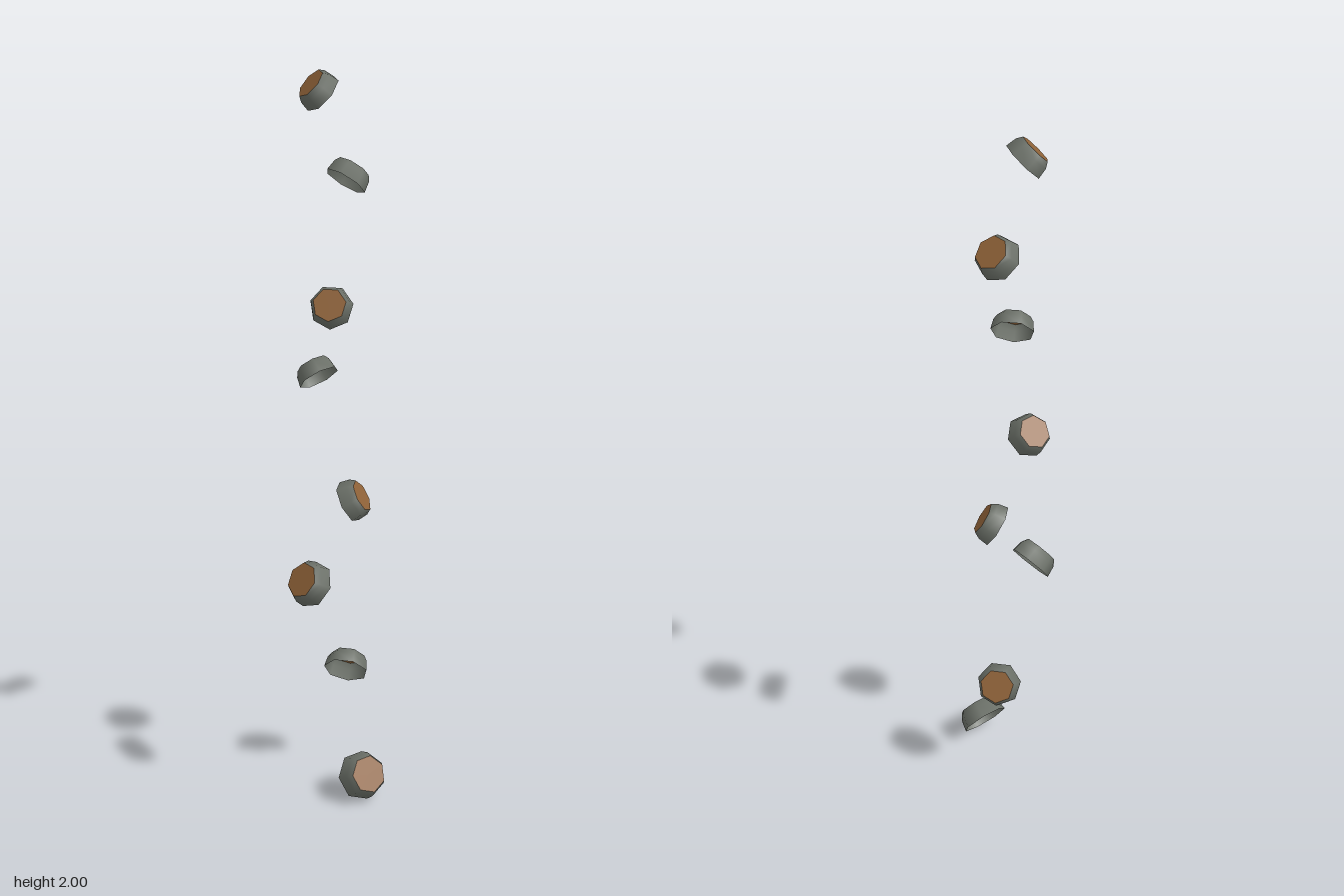
import * as THREE from 'three';

const SIDES = 7;

// base centre x, y, z; outward heading x, z; upward tilt in degrees; base radius
const STUBS = [
  [-0.071, 1.948, -0.017, -0.37, 0.93, 43, 0.055],
  [-0.07, 1.712, -0.087, -0.08, -1, 47, 0.057],
  [0.012, 1.422, 0.02, 0.69, 0.73, 30, 0.056],
  [-0.098, 1.184, -0.024, -1, 0, 44, 0.056],
  [-0.006, 0.85, -0.048, 0.74, -0.67, 31, 0.058],
  [0.008, 0.65, 0.079, 0.03, 1, 35, 0.063],
  [-0.034, 0.317, -0.064, -0.65, -0.76, 32, 0.061],
  [0.093, 0.058, -0.014, 1, 0.05, 32, 0.067],
];

export function createModel() {
  const bark = new THREE.MeshStandardMaterial({ color: 0x6b7068, side: THREE.DoubleSide });
  bark.name = 'greyBark';
  const wood = new THREE.MeshStandardMaterial({ color: 0x8f6238, side: THREE.DoubleSide });
  wood.name = 'brownWood';

  // Bark collar of unit radius, open at the inner end, tapering to the cut
  const collar = new THREE.LatheGeometry([
    new THREE.Vector2(1, 0),
    new THREE.Vector2(0.92, 0.5),
    new THREE.Vector2(0.76, 0.76),
  ], SIDES);

  // Cut wood face closing the outer end
  const face = new THREE.CircleGeometry(0.76, SIDES, -Math.PI / 2);
  face.rotateX(-Math.PI / 2);
  face.translate(0, 0.76, 0);

  const model = new THREE.Group();
  model.name = 'branchStubs';
  STUBS.forEach(([x, y, z, dx, dz, tilt, radius], i) => {
    const stub = new THREE.Group();
    stub.name = `branchStub${i + 1}`;
    const barkMesh = new THREE.Mesh(collar, bark);
    barkMesh.name = 'barkCollar';
    const faceMesh = new THREE.Mesh(face, wood);
    faceMesh.name = 'cutFace';
    stub.add(barkMesh, faceMesh);
    stub.position.set(x, y, z);
    stub.rotation.set(THREE.MathUtils.degToRad(90 - tilt), Math.atan2(dx, dz), 0, 'YXZ');
    stub.scale.setScalar(radius);
    model.add(stub);
  });
  return model;
}
